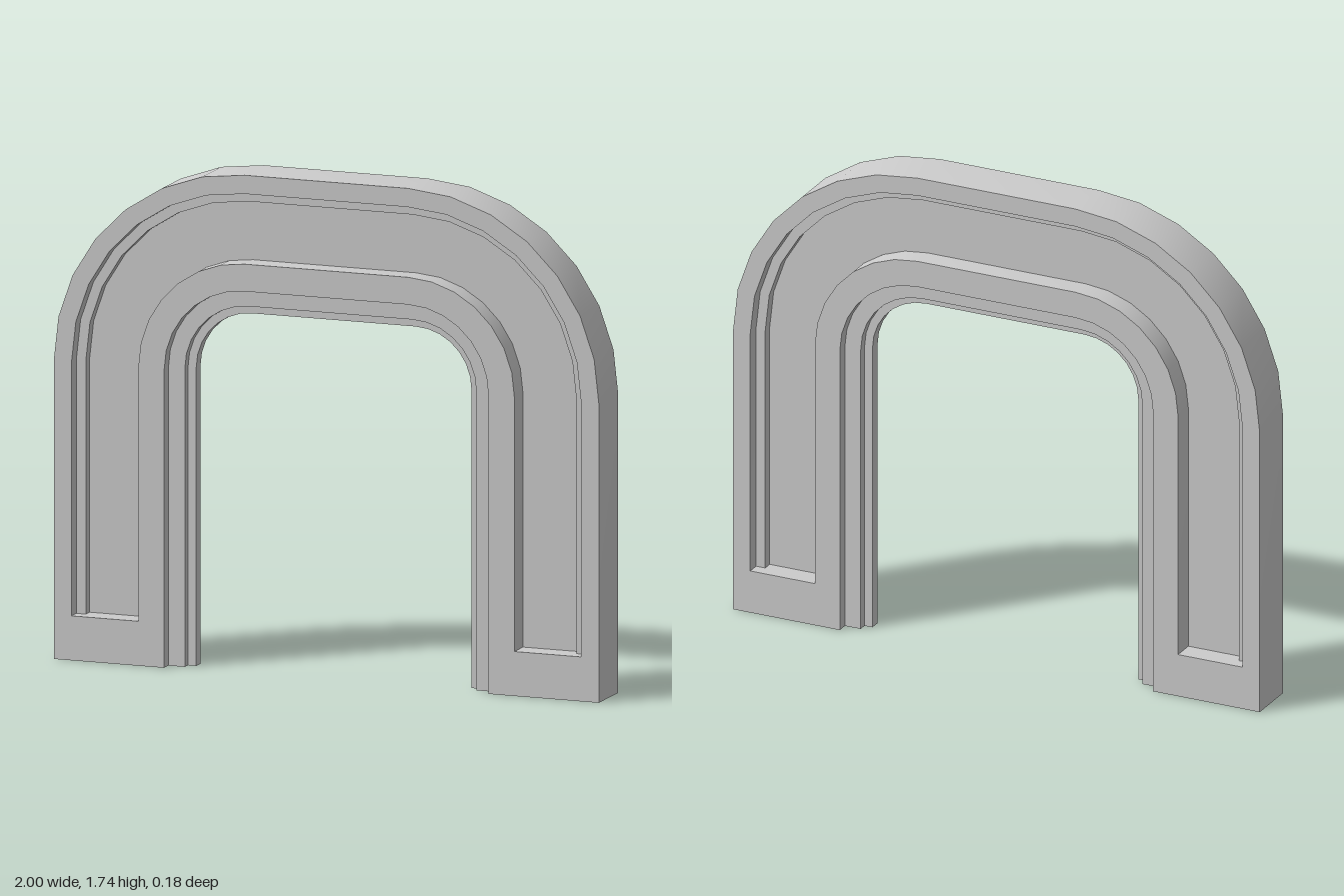
import * as THREE from 'three';
import { toCreasedNormals } from 'three/addons/utils/BufferGeometryUtils.js';

const CORNER_X = 0.3, CORNER_Y = 1.04, SEGMENTS = 7;

// Arch line at radius r around the two corner centres, from the right foot to the left foot
function archLine(r, bottom) {
  const pts = [new THREE.Vector2(CORNER_X + r, bottom)];
  for (const side of [1, -1]) {
    for (let i = 0; i <= SEGMENTS; i++) {
      const t = (side > 0 ? i : SEGMENTS - i) / SEGMENTS * Math.PI / 2;
      pts.push(new THREE.Vector2(side * (CORNER_X + r * Math.cos(t)), CORNER_Y + r * Math.sin(t)));
    }
  }
  pts.push(new THREE.Vector2(-CORNER_X - r, bottom));
  return pts;
}

// Closed band between two arch lines
function band(outer, inner, bottom) {
  return [...archLine(outer, bottom), ...archLine(inner, bottom).reverse()];
}

export function createModel() {
  const group = new THREE.Group();
  const grey = new THREE.MeshStandardMaterial({ color: 0xcccccc });
  grey.name = 'light grey';

  function add(name, shape, halfDepth) {
    const flat = new THREE.ExtrudeGeometry(shape, { depth: halfDepth * 2, bevelEnabled: false });
    flat.translate(0, 0, -halfDepth);
    const mesh = new THREE.Mesh(toCreasedNormals(flat, 0.5), grey);
    mesh.name = name;
    group.add(mesh);
  }

  // Main frame, with the long recess cut through it
  const frame = new THREE.Shape(band(0.7, 0.295, 0));
  frame.holes.push(new THREE.Path(band(0.635, 0.39, 0.155)));
  add('frame', frame, 0.09);

  // Ledge along the outer edge of the recess, and its sunken panel
  add('recessLedge', new THREE.Shape(band(0.635, 0.6, 0.155)), 0.045);
  add('recessPanel', new THREE.Shape(band(0.6, 0.39, 0.155)), 0.01);

  // Stepped lining of the opening
  add('openingOuterStep', new THREE.Shape(band(0.295, 0.235, 0)), 0.05);
  add('openingInnerStep', new THREE.Shape(band(0.235, 0.205, 0)), 0.02);

  return group;
}
